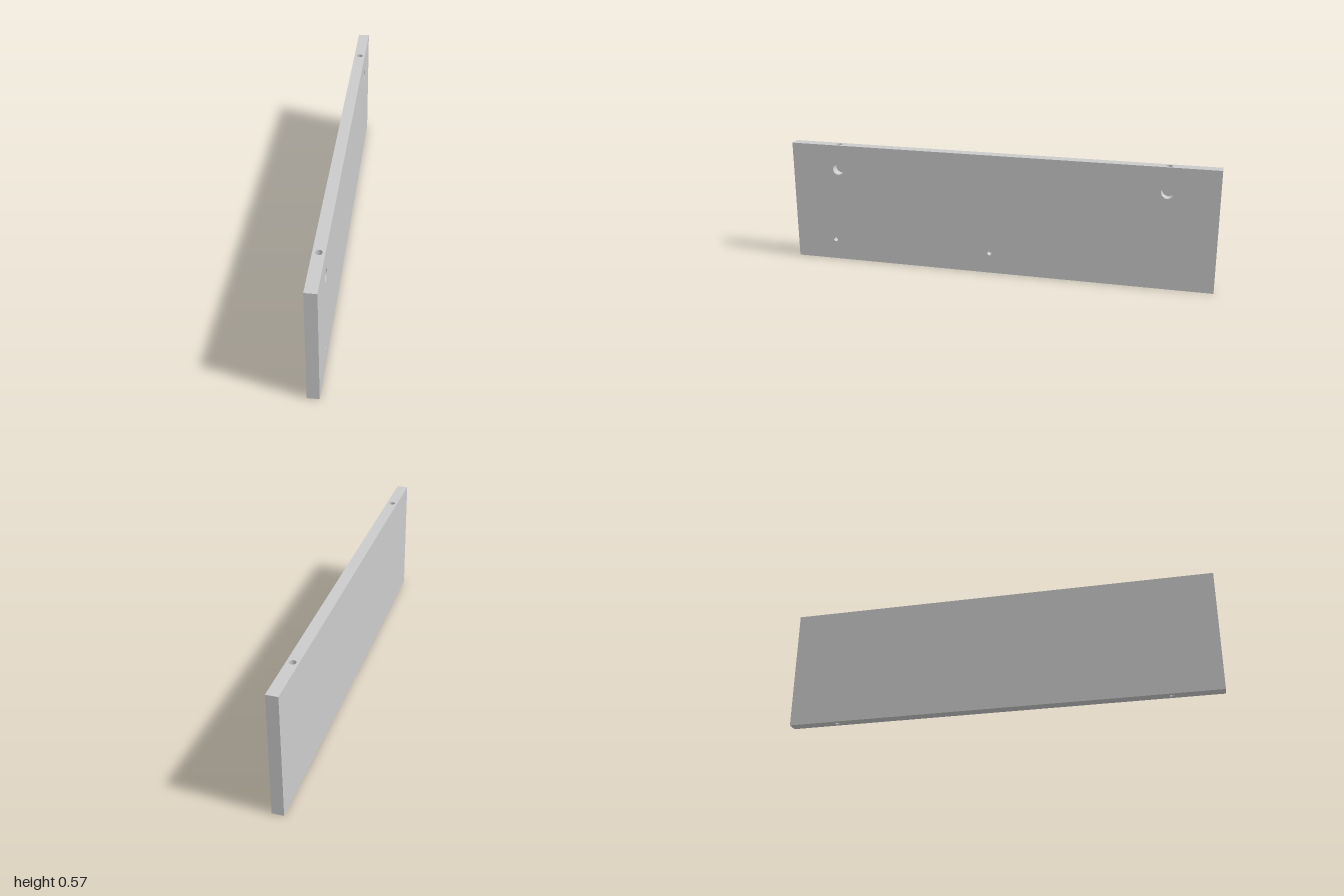
import * as THREE from 'three';
import { mergeGeometries } from 'three/addons/utils/BufferGeometryUtils.js';

const T = 0.052, H = 0.57, L = 2;          // thickness, height, length
const SEG = 32;
const grey = new THREE.MeshStandardMaterial({ color: 0xcccccc });
const bore = new THREE.MeshStandardMaterial({ color: 0xcccccc, side: THREE.DoubleSide });

// Flat rectangle centred on its origin, pierced by round holes [x, y, radius]
function face(w, h, holes = []) {
  const s = new THREE.Shape();
  s.moveTo(-w / 2, -h / 2).lineTo(w / 2, -h / 2).lineTo(w / 2, h / 2).lineTo(-w / 2, h / 2);
  for (const [x, y, r] of holes) s.holes.push(new THREE.Path().absarc(x, y, r, 0, Math.PI * 2, true));
  return new THREE.ShapeGeometry(s, SEG);
}

// Ruled surface between two curves given as functions of an angle
function ruled(a, b, from, to, n = SEG) {
  const pos = [], idx = [];
  for (let i = 0; i <= n; i++) {
    const t = from + (to - from) * i / n;
    pos.push(...a(t), ...b(t));
    if (i < n) idx.push(2 * i, 2 * i + 1, 2 * i + 2, 2 * i + 2, 2 * i + 1, 2 * i + 3);
  }
  const g = new THREE.BufferGeometry();
  g.setAttribute('position', new THREE.Float32BufferAttribute(pos, 3));
  g.setIndex(idx);
  g.computeVertexNormals();
  return g;
}

export function createModel() {
  const group = new THREE.Group();
  const add = (name, geo, mat = bore) => {
    const m = new THREE.Mesh(geo, mat);
    m.name = name;
    group.add(m);
    return m;
  };

  const camR = 0.028, camY = 0.455, camZ = [0.772, -0.772], camFloor = -0.017;
  const dowelR = 0.015, pinR = 0.01;
  const pinZ = [0.805, 0.033], pinY = 0.097, pinDepth = 0.032;
  const screwR = 0.01, screwDepth = 0.06;

  // Board faces, with openings on the left side, top and bottom
  const sideHoles = [
    ...camZ.map(z => [-z, camY - H / 2, camR]),
    ...pinZ.map(z => [-z, pinY - H / 2, pinR]),
  ];
  add('board', mergeGeometries([
    face(L, H, sideHoles).rotateY(Math.PI / 2).translate(T / 2, H / 2, 0),
    face(L, H).rotateY(-Math.PI / 2).translate(-T / 2, H / 2, 0),
    face(T, L, camZ.map(z => [0, -z, dowelR])).rotateX(-Math.PI / 2).translate(0, H, 0),
    face(T, L, camZ.map(z => [0, z, screwR])).rotateX(Math.PI / 2),
    face(T, H).translate(0, H / 2, L / 2),
    face(T, H).rotateY(Math.PI).translate(0, H / 2, -L / 2),
  ]), grey);

  const gap = Math.asin(dowelR / camR);
  for (const z of camZ) {
    // Wide blind bore: full wall, then two strips around the dowel opening
    const wall = xf => t => [xf(t), camY + camR * Math.cos(t), z + camR * Math.sin(t)];
    const rim = t => Math.sqrt(Math.max(0, dowelR ** 2 - (camR * Math.sin(t)) ** 2));
    const outer = wall(() => T / 2), inner = wall(() => camFloor);
    add('lockBoreWall', mergeGeometries([
      ruled(outer, inner, gap, Math.PI * 2 - gap),
      ruled(outer, wall(rim), -gap, gap),
      ruled(wall(t => -rim(t)), inner, -gap, gap),
    ]));
    add('lockBoreFloor', new THREE.CircleGeometry(camR, SEG).rotateY(Math.PI / 2).translate(camFloor, camY, z));

    // Dowel bore from the top edge down into the wide bore
    const ring = yf => t => [dowelR * Math.cos(t), yf(dowelR * Math.sin(t)), z + dowelR * Math.sin(t)];
    add('dowelBore', ruled(ring(() => H), ring(d => camY + Math.sqrt(camR ** 2 - d * d)), 0, Math.PI * 2));

    // Small blind bore in the bottom edge
    add('bottomBore', new THREE.CylinderGeometry(screwR, screwR, screwDepth, SEG, 1, true).translate(0, screwDepth / 2, z));
    add('bottomBoreEnd', new THREE.CircleGeometry(screwR, SEG).rotateX(Math.PI / 2).translate(0, screwDepth, z));
  }

  // Small blind pin bores low on the side
  for (const z of pinZ) {
    add('pinBore', new THREE.CylinderGeometry(pinR, pinR, pinDepth, SEG, 1, true)
      .rotateZ(Math.PI / 2).translate(T / 2 - pinDepth / 2, pinY, z));
    add('pinBoreFloor', new THREE.CircleGeometry(pinR, SEG).rotateY(Math.PI / 2).translate(T / 2 - pinDepth, pinY, z));
  }
  return group;
}
